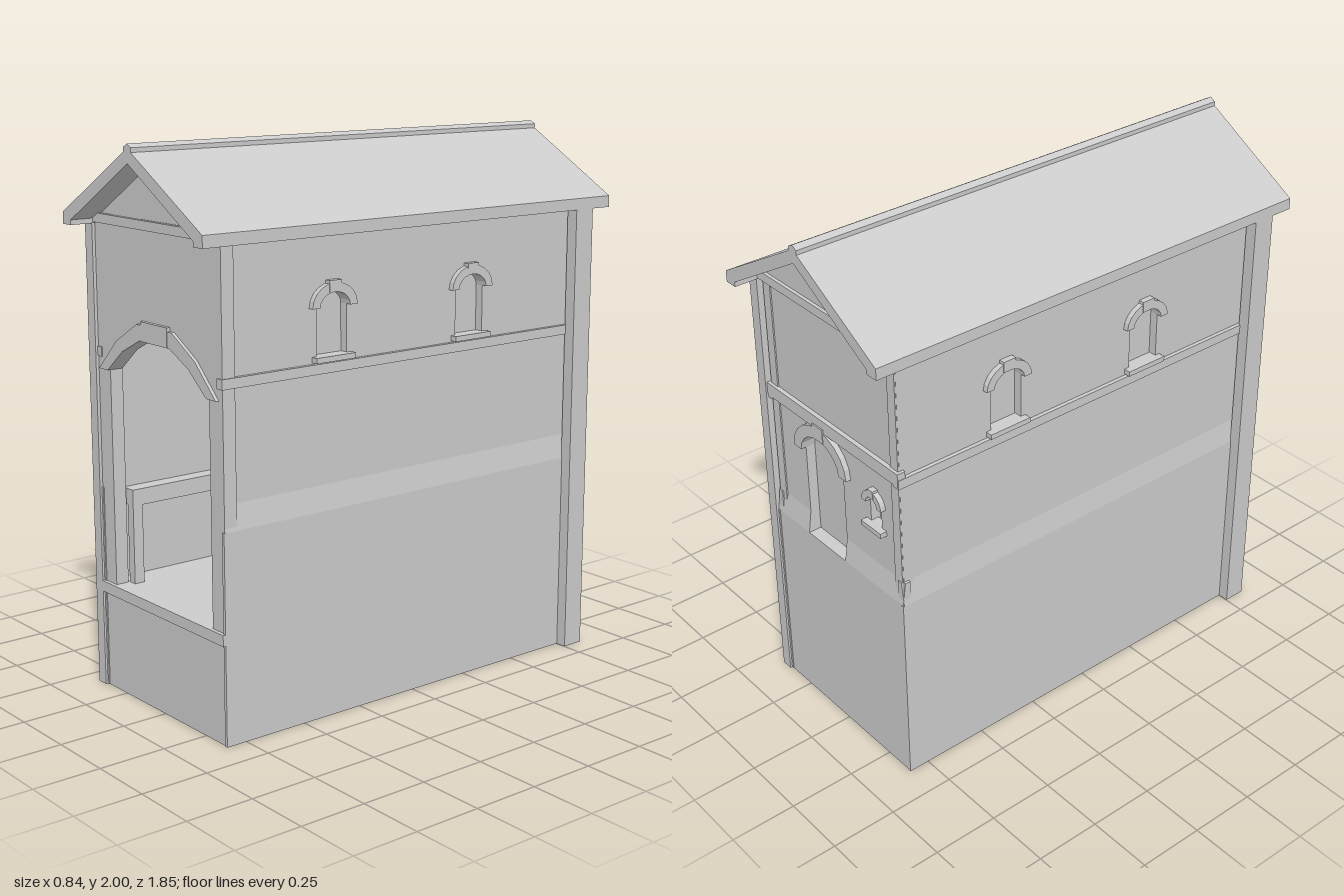
import * as THREE from 'three';

const mat = new THREE.MeshStandardMaterial({ color: 0xcccccc, flatShading: true, side: THREE.DoubleSide });

function add(parent, geo, name) {
  const m = new THREE.Mesh(geo, mat);
  m.name = name;
  parent.add(m);
  return m;
}

// box given by its limits on each axis
function box(parent, name, x0, x1, y0, y1, z0, z1) {
  const m = add(parent, new THREE.BoxGeometry(x1 - x0, y1 - y0, z1 - z0), name);
  m.position.set((x0 + x1) / 2, (y0 + y1) / 2, (z0 + z1) / 2);
  return m;
}

const toShape = pts => new THREE.Shape(pts.map(p => new THREE.Vector2(p[0], p[1])));

// slab with its outline in xy, from z0 to z1
function slab(parent, name, shape, z0, z1) {
  const g = new THREE.ExtrudeGeometry(shape, { depth: z1 - z0, bevelEnabled: false });
  g.translate(0, 0, z0);
  return add(parent, g, name);
}

// arch line from right to left, as [x, y] factors
const roundArch = Array.from({ length: 11 }, (_, i) => [Math.cos(i * Math.PI / 10), Math.sin(i * Math.PI / 10)]);
const facetedArch = [[1, 0], [0.67, 0.6], [0.3, 1], [-0.3, 1], [-0.67, 0.6], [-1, 0]];

const archLine = (o, t = 0) => o.line.map(([fx, fy]) => [o.x + fx * (o.w + t), o.spring + fy * (o.rise + t)]);

const opening = o => [[o.x - o.w, o.y], [o.x + o.w, o.y], ...archLine(o)];

// wall plate facing +z with arched openings, hoods, sills and recessed panels
function archedWall(parent, name, w, y0, y1, face, depth, openings) {
  const s = toShape([[-w, y0], [w, y0], [w, y1], [-w, y1]]);
  openings.forEach(o => s.holes.push(new THREE.Path(opening(o).map(p => new THREE.Vector2(...p)))));
  slab(parent, name, s, face - depth, face);
  for (const o of openings) {
    const out = o.proud ?? 0.02;
    slab(parent, o.name + 'Hood', toShape([...archLine(o, o.t), ...archLine(o).reverse()]), face - 0.01, face + out);
    // keystone
    const k = o.key, top = o.spring + o.rise + o.t;
    box(parent, o.name + 'Keystone', o.x - k, o.x + k, top - o.t, top + o.t * 0.25, face - 0.01, face + out + 0.002);
    if (o.sill) box(parent, o.name + 'Sill', o.x - o.sill, o.x + o.sill, o.y - 0.015, o.y + 0.004, face - 0.03, face + 0.026);
    if (!o.open) slab(parent, o.name + 'Panel', toShape(opening(o)), face - depth, face - depth + 0.008);
  }
}

// sloping band between the thicker base and the thinner upper wall
function slopingBand(parent, x0, x1, upper, lower) {
  const m = slab(parent, 'slopingBand',
    toShape([[upper - 0.02, 0.75], [lower, 0.75], [upper, 0.84], [upper - 0.02, 0.84]]), x0, x1);
  m.rotation.y = -Math.PI / 2;   // outline x -> z, depth -> -x
  m.position.x = x0 + x1;
}

function sideWall(name, angle) {
  const g = new THREE.Group();
  g.name = name;
  const windows = [-0.365, 0.265].map(x => ({
    name: 'window', x, w: 0.065, y: 1.285, spring: 1.455, rise: 0.05, t: 0.032, key: 0.026, sill: 0.085, line: roundArch
  }));
  box(g, 'wallBase', -0.83, 0.83, 0, 0.75, 0.366, 0.378);
  slopingBand(g, -0.825, 0.825, 0.365, 0.378);
  archedWall(g, 'upperWall', 0.82, 0.75, 1.74, 0.365, 0.04, windows);
  box(g, 'stringCourse', -0.83, 0.83, 1.23, 1.265, 0.35, 0.38);
  g.rotation.y = angle;
  return g;
}

function backWall() {
  const g = new THREE.Group();
  g.name = 'backWall';
  box(g, 'wallBase', -0.375, 0.375, 0, 0.75, 0.815, 0.828);
  slopingBand(g, -0.375, -0.18, 0.815, 0.828);
  slopingBand(g, 0.04, 0.375, 0.815, 0.828);
  archedWall(g, 'upperWall', 0.366, 0.74, 1.74, 0.815, 0.045, [
    { name: 'door', x: -0.07, w: 0.11, y: 0.75, spring: 1.11, rise: 0.09, t: 0.045, key: 0.03, line: roundArch },
    { name: 'smallWindow', x: 0.225, w: 0.03, y: 1.0, spring: 1.09, rise: 0.03, t: 0.025, key: 0.014, sill: 0.055, line: roundArch }
  ]);
  box(g, 'stringCourse', -0.378, 0.378, 1.24, 1.29, 0.8, 0.832);
  g.rotation.y = Math.PI;
  return g;
}

function frontWall() {
  const g = new THREE.Group();
  g.name = 'frontWall';
  archedWall(g, 'archWall', 0.376, 0.37, 1.74, 0.826, 0.05, [
    { name: 'archway', x: 0, w: 0.3, y: 0.4, spring: 1.19, rise: 0.135, t: 0.055, key: 0.08, proud: 0.012, open: true, line: facetedArch }
  ]);
  box(g, 'wallBase', -0.376, 0.376, 0, 0.37, 0.814, 0.826);
  box(g, 'ledge', -0.376, 0.378, 0.36, 0.4, 0.77, 0.84);
  return g;
}

function interior() {
  const g = new THREE.Group();
  g.name = 'interior';
  box(g, 'floor', -0.366, 0.366, 0.385, 0.4, -0.815, 0.815);
  for (const s of [-1, 1]) {
    box(g, 'sideRail', ...(s < 0 ? [-0.366, -0.265] : [0.265, 0.366]), 0.69, 0.75, -0.8, 0.77);
    box(g, 'railPost', ...(s < 0 ? [-0.3, -0.265] : [0.265, 0.3]), 0.4, 0.69, 0.73, 0.77);
  }
  box(g, 'backRail', -0.3, 0.3, 0.69, 0.75, -0.81, -0.72);
  return g;
}

function roof() {
  const g = new THREE.Group();
  g.name = 'roof';
  slab(g, 'roofSlopes', toShape([[0.42, 1.7], [0.42, 1.742], [0, 1.985], [-0.42, 1.742], [-0.42, 1.7],
    [-0.4, 1.7], [0, 1.935], [0.4, 1.7]]), -0.925, 0.925);
  slab(g, 'ridgeCap', toShape([[0.022, 1.968], [0.022, 1.988], [0, 2], [-0.022, 1.988], [-0.022, 1.968], [0, 1.98]]), -0.925, 0.925);
  for (const s of [-1, 1]) {
    // eave boards
    box(g, 'eaveBoard', s * 0.395 - 0.025, s * 0.395 + 0.025, 1.7, 1.735, -0.925, 0.925);
    // gables with tie beams
    slab(g, 'gable', toShape([[-0.39, 1.71], [0.39, 1.71], [0, 1.94]]), s * 0.815 - 0.01, s * 0.815 + 0.01);
    box(g, 'tieBeam', -0.376, 0.376, 1.705, 1.738, s * 0.82 - 0.018, s * 0.82 + 0.018);
  }
  return g;
}

export function createModel() {
  const model = new THREE.Group();
  model.name = 'gatehouse';
  model.add(sideWall('leftWall', Math.PI / 2), sideWall('rightWall', -Math.PI / 2));
  model.add(frontWall(), backWall(), interior(), roof());
  // corner posts on two opposite corners
  for (const s of [-1, 1]) {
    const post = box(model, 'cornerPost', -0.0225, 0.0225, 0, 1.74, -0.043, 0.043);
    post.position.set(s * 0.3975, 0.87, -s * 0.795);
  }
  return model;
}
